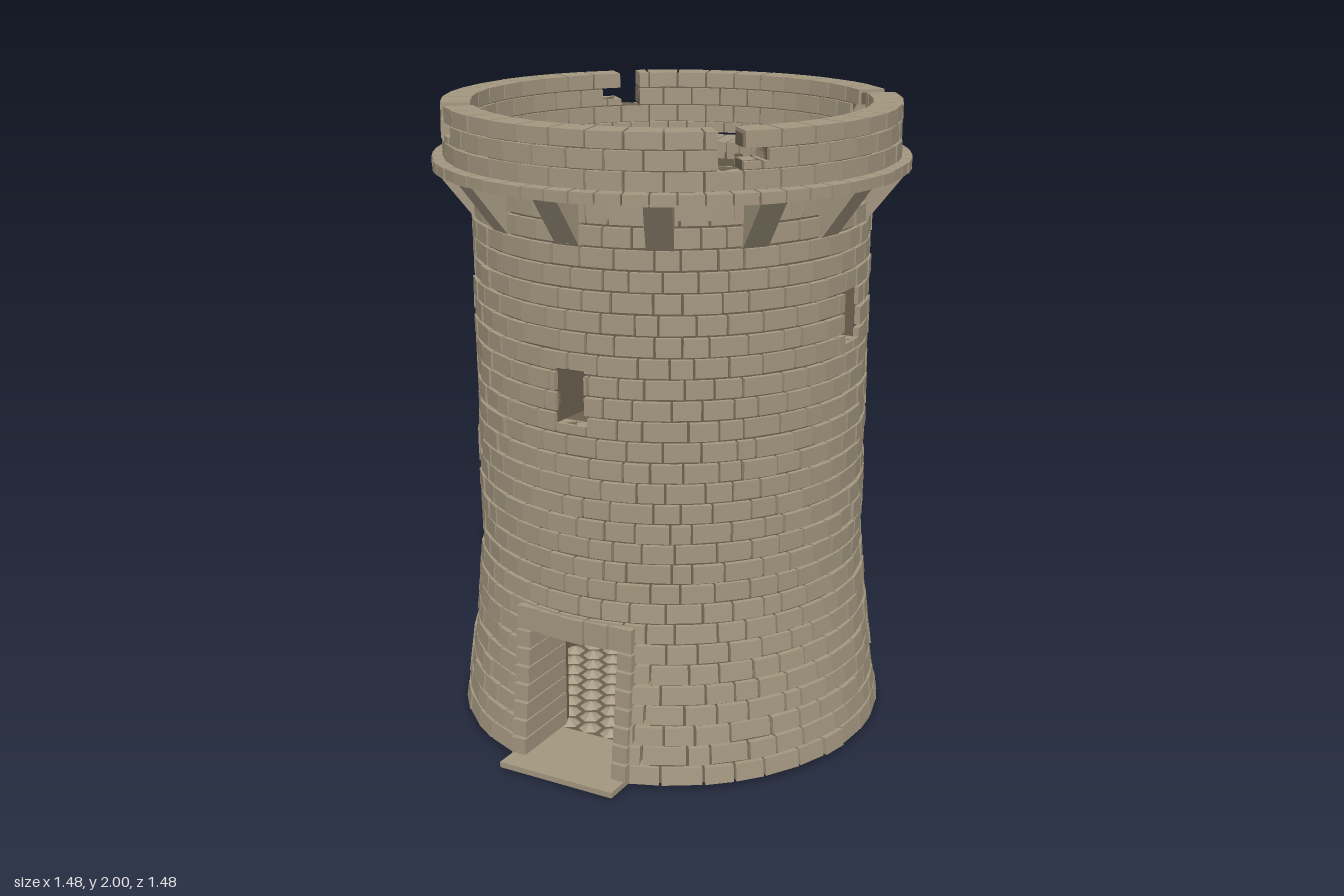
import * as THREE from 'three';
import { mergeGeometries } from 'three/addons/utils/BufferGeometryUtils.js';

const TAU = Math.PI * 2;
const DEG = Math.PI / 180;

export function createModel() {
  const tower = new THREE.Group();
  tower.name = 'tower';
  const stone = new THREE.MeshStandardMaterial({ color: 0xa2967f, side: THREE.DoubleSide });
  stone.name = 'stone';
  const mortar = new THREE.MeshStandardMaterial({ color: 0x6a604d });
  mortar.name = 'mortar';

  let seed = 7;
  const rand = () => (seed = (seed * 16807) % 2147483647) / 2147483647;

  // Outer wall radius: flared foot, straight shaft
  const radius = (y) => 0.62 + 0.07 * Math.pow(Math.max(0, 1 - y / 0.6), 1.2);

  const flat = (g) => {
    const f = g.index ? g.toNonIndexed() : g;
    f.computeVertexNormals();
    return f;
  };
  const add = (name, parts, material) => {
    const mesh = new THREE.Mesh(mergeGeometries(parts), material);
    mesh.name = name;
    tower.add(mesh);
  };
  const box = (x0, x1, y0, y1, z0, z1) =>
    flat(new THREE.BoxGeometry(x1 - x0, y1 - y0, z1 - z0)
      .translate((x0 + x1) / 2, (y0 + y1) / 2, (z0 + z1) / 2));

  // Block bent round the axis; angle 0 faces +z
  function wedge(a0, a1, y0, y1, rIn, rBottom, rTop = rBottom) {
    const g = new THREE.BoxGeometry(1, 1, 1);
    const p = g.attributes.position;
    for (let i = 0; i < p.count; i++) {
      const a = p.getX(i) < 0 ? a0 : a1;
      const low = p.getY(i) < 0;
      const r = p.getZ(i) < 0 ? rIn : low ? rBottom : rTop;
      p.setXYZ(i, r * Math.sin(a), low ? y0 : y1, r * Math.cos(a));
    }
    return flat(g);
  }

  // Cut openings [a0, a1, y0, y1] out of a block; returns the remaining blocks
  function cut(block, openings) {
    let list = [block];
    for (const [oa, ob, oy, oz] of openings) {
      list = list.flatMap(([a, b, y, z]) => {
        const n = TAU * Math.round(((a + b) / 2 - (oa + ob) / 2) / TAU);
        const p = oa + n, q = ob + n;
        if (b <= p || a >= q || z <= oy || y >= oz) return [[a, b, y, z]];
        const l = Math.max(a, p), r = Math.min(b, q);
        return [[a, p, y, z], [q, b, y, z], [l, r, y, oy], [l, r, oz, z]]
          .filter(([c, d, e, f]) => d - c > 0.004 && f - e > 0.004);
      });
    }
    return list;
  }

  // Windows: direction, half width, bottom, top
  const windows = [
    [0, 0.05, 1.12, 1.29],
    [Math.PI / 2, 0.05, 1.31, 1.47],
    [Math.PI, 0.09, 0.88, 1.12],
  ].map(([a, w, y0, y1]) => [a - w / 0.62, a + w / 0.62, y0, y1]);
  const doors = (half, top) => [0, Math.PI].map((a) => [a - half, a + half, -1, top]);

  // Wall core
  const core = [];
  const bands = [0.02, 0.15, 0.3, 0.45, 0.6, 1.76];
  for (let i = 0; i < 72; i++) {
    for (let k = 0; k < bands.length - 1; k++) {
      const block = [(i / 72) * TAU, ((i + 1) / 72) * TAU, bands[k], bands[k + 1]];
      for (const [a, b, y, z] of cut(block, [...windows, ...doors(0.4, 0.47)])) {
        core.push(wedge(a, b, y, z, 0.46, radius(y) - 0.016, radius(z) - 0.016));
      }
    }
  }
  add('wallCore', core, mortar);

  // Wall bricks in staggered courses
  const bricks = [];
  const courses = 28, perCourse = 40, courseHeight = 1.77 / courses;
  const wallHoles = [...windows, ...doors(0.312, 0.51)];
  for (let c = 0; c < courses; c++) {
    const y = 0.015 + c * courseHeight;
    const joints = [];
    for (let i = 0; i < perCourse; i++) {
      joints.push(((i + (c % 2) / 2 + (rand() - 0.5) * 0.45) / perCourse) * TAU);
    }
    joints.push(joints[0] + TAU);
    for (let i = 0; i < perCourse; i++) {
      const bump = (rand() - 0.5) * 0.007;
      const block = [joints[i] + 0.006, joints[i + 1] - 0.006, y + 0.004, y + courseHeight - 0.005];
      for (const [a, b, y0, y1] of cut(block, wallHoles)) {
        bricks.push(wedge(a, b, y0, y1, radius(y1) - 0.05, radius(y0) + bump, radius(y1) + bump));
      }
    }
  }
  add('wallBricks', bricks, stone);

  // Front and back doorways
  const frame = [], backing = [], sills = [];
  for (const turn of [0, Math.PI]) {
    const place = (g) => g.rotateY(turn);
    for (let row = 0; row < 7; row++) {
      const y = 0.025 + row * 0.058;
      const z = radius(y) * 0.97;
      for (const s of [-1, 1]) {
        const [x0, x1] = s < 0 ? [-0.205, -0.155] : [0.155, 0.205];
        frame.push(place(box(x0, x1, y + 0.002, y + 0.055, 0.42, z)));
      }
    }
    for (let i = -2; i <= 2; i++) {
      frame.push(place(box(i * 0.081 - 0.039, i * 0.081 + 0.039, 0.432, 0.508, 0.42, 0.632 - Math.abs(i) * 0.007)));
    }
    backing.push(place(box(-0.23, -0.16, 0.02, 0.47, 0.4, 0.57)));
    backing.push(place(box(0.16, 0.23, 0.02, 0.47, 0.4, 0.57)));
    backing.push(place(box(-0.2, 0.2, 0.437, 0.5, 0.43, 0.6)));
    sills.push(place(box(-0.2, 0.2, 0.01, 0.028, 0.45, 0.74)));
  }
  add('doorFrames', frame, stone);
  add('doorBacking', backing, mortar);
  add('doorSills', sills, stone);

  // Ring of evenly spaced blocks, with optional notches
  function ring(count, y0, y1, rIn, rOut, shift, gap, holes = []) {
    const out = [];
    for (let i = 0; i < count; i++) {
      const bump = (rand() - 0.5) * 0.006;
      const block = [((i + shift) / count) * TAU + gap, ((i + 1 + shift) / count) * TAU - gap, y0, y1];
      for (const [a, b, y, z] of cut(block, holes)) out.push(wedge(a, b, y, z, rIn, rOut + bump));
    }
    return out;
  }

  // Wall walk and projecting ledge
  add('wallWalk', ring(64, 1.74, 1.795, 0.46, 0.618, 0, 0.004), stone);
  add('walkJoints', ring(64, 1.745, 1.785, 0.465, 0.61, 0, 0), mortar);
  add('ledge', ring(60, 1.802, 1.835, 0.61, 0.736, 0, 0.004), stone);
  add('ledgeJoints', ring(60, 1.806, 1.83, 0.615, 0.724, 0, 0), mortar);

  // Parapet with a notch on each diagonal
  const notches = [];
  for (let k = 0; k < 4; k++) {
    notches.push([(39 + 90 * k) * DEG, (45 + 90 * k) * DEG, 1.89, 2.1]);
    notches.push([(39 + 90 * k) * DEG, (51 + 90 * k) * DEG, 1.915, 1.953]);
  }
  add('parapet', [
    ...ring(40, 1.838, 1.89, 0.615, 0.705, 0, 0.005, notches),
    ...ring(40, 1.895, 1.948, 0.615, 0.705, 0.5, 0.005, notches),
    ...ring(40, 1.953, 2.0, 0.615, 0.705, 0, 0.005, notches),
  ], stone);
  add('parapetJoints', ring(72, 1.83, 1.99, 0.625, 0.69, 0, 0, notches), mortar);

  // Sloping corbels under the ledge
  const profile = new THREE.Shape([[0.59, 1.655], [0.615, 1.655], [0.73, 1.803], [0.59, 1.803]]
    .map(([x, y]) => new THREE.Vector2(x, y)));
  const corbels = [];
  for (let i = 0; i < 14; i++) {
    const g = new THREE.ExtrudeGeometry(profile, { depth: 0.08, bevelEnabled: false });
    g.translate(0, 0, -0.04).rotateY(-Math.PI / 2 + (i / 14) * TAU);
    corbels.push(flat(g));
  }
  add('corbels', corbels, stone);

  // Smooth vault over the ground room
  const vault = new THREE.SphereGeometry(0.93, 64, 10, 0, TAU, 0, Math.PI / 6);
  vault.translate(0, 0.51 - 0.93 * Math.cos(Math.PI / 6), 0);
  add('vault', [vault], stone);

  // Ground floor of faceted six-sided tiles
  const tiles = [];
  const tileR = 0.045, stepX = tileR * Math.sqrt(3), stepZ = tileR * 1.5;
  for (let j = -7; j <= 7; j++) {
    for (let i = -7; i <= 7; i++) {
      const x = (i + (Math.abs(j) % 2) / 2) * stepX, z = j * stepZ;
      if (Math.hypot(x, z) > 0.45) continue;
      const up = new THREE.ConeGeometry(tileR, 0.022, 6, 1, true).translate(x, 0.029, z);
      const down = new THREE.ConeGeometry(tileR, 0.018, 6, 1, true).rotateX(Math.PI).translate(x, 0.009, z);
      tiles.push(flat(up), flat(down));
    }
  }
  add('floorTiles', tiles, stone);
  add('floorBed', [new THREE.CylinderGeometry(0.47, 0.47, 0.004, 48).translate(0, 0.02, 0)], mortar);

  return tower;
}
